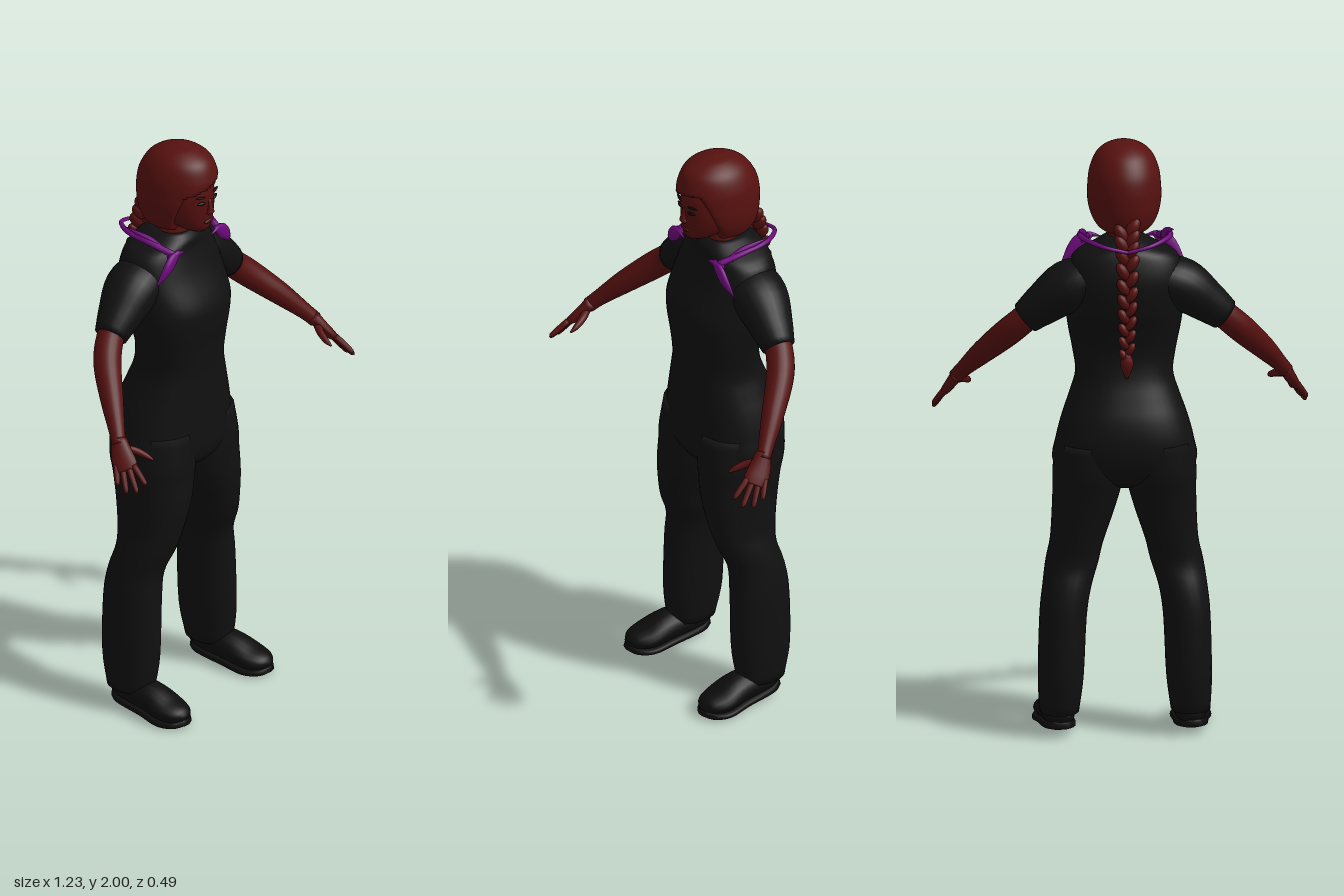
import * as THREE from 'three';

const material = (name, color) => Object.assign(new THREE.MeshStandardMaterial({ color }), { name });
const cloth = material('black cloth', 0x101010);
const leather = material('black leather', 0x0c0c0c);
const skin = material('skin', 0x54100f);
const hairMat = material('hair', 0x56110f);
const scarf = material('purple scarf', 0x6e0a7c);
const dark = material('dark eye', 0x140606);
const lipMat = material('lips', 0x420a0c);

// Smooth closed loft through rows of [x, y, z, radiusA, radiusB].
// flat keeps every ring horizontal (rows then run from top to bottom).
function loft(rows, { n = 20, steps = 4, ref = [0, 0, 1], flat = false, pow = 1 } = {}) {
  const path = new THREE.CatmullRomCurve3(rows.map(r => new THREE.Vector3(r[0], r[1], r[2])), false, 'catmullrom');
  const size = new THREE.CatmullRomCurve3(rows.map(r => new THREE.Vector3(r[3], r[4], 0)), false, 'catmullrom');
  const up = new THREE.Vector3(...ref);
  const count = (rows.length - 1) * steps;
  const pos = [], index = [];
  const bend = v => Math.sign(v) * Math.abs(v) ** pow;
  for (let i = 0; i <= count; i++) {
    const c = path.getPoint(i / count), r = size.getPoint(i / count), t = path.getTangent(i / count);
    const a = flat ? new THREE.Vector3(1, 0, 0) : up.clone().cross(t).normalize();
    const b = flat ? new THREE.Vector3(0, 0, 1) : t.clone().cross(a);
    for (let j = 0; j < n; j++) {
      const q = j / n * Math.PI * 2;
      const p = c.clone().addScaledVector(a, Math.max(r.x, 0.001) * bend(Math.cos(q)))
        .addScaledVector(b, Math.max(r.y, 0.001) * bend(Math.sin(q)));
      pos.push(p.x, p.y, p.z);
    }
  }
  for (let i = 0; i < count; i++) for (let j = 0; j < n; j++) {
    const k = (j + 1) % n, a = i * n + j, b = i * n + k;
    index.push(a, b, a + n, b, b + n, a + n);
  }
  const first = path.getPoint(0), last = path.getPoint(1), cap = pos.length / 3;
  pos.push(first.x, first.y, first.z, last.x, last.y, last.z);
  for (let j = 0; j < n; j++) {
    const k = (j + 1) % n;
    index.push(cap, k, j, cap + 1, count * n + j, count * n + k);
  }
  const g = new THREE.BufferGeometry();
  g.setAttribute('position', new THREE.Float32BufferAttribute(pos, 3));
  g.setIndex(index);
  g.computeVertexNormals();
  return g;
}

// Horizontal rows given as [y, xMin, xMax, zFront, zBack]
const box = (y, x0, x1, f, b) => [(x0 + x1) / 2, y, (f + b) / 2, (x1 - x0) / 2, (f - b) / 2];
const centred = rows => rows.map(([y, w, f, b]) => box(y, -w, w, f, b));
const side = (rows, s) => rows.map(([x, ...rest]) => [x * s, ...rest]);

export function createModel() {
  const model = new THREE.Group();
  const add = (name, geometry, mat, parent = model) => {
    const m = new THREE.Mesh(geometry, mat);
    m.name = name;
    parent.add(m);
    return m;
  };
  const blob = (name, mat, p, s, tilt = 0) => {
    const m = add(name, new THREE.SphereGeometry(1, 16, 12), mat);
    m.position.set(...p);
    m.scale.set(...s);
    m.rotation.z = tilt;
    return m;
  };

  // Torso and hips
  add('torso', loft(centred([
    [1.69, 0.06, -0.01, -0.14], [1.665, 0.105, 0.01, -0.185], [1.63, 0.17, 0.015, -0.205],
    [1.55, 0.195, 0.045, -0.222], [1.45, 0.193, 0.092, -0.21], [1.38, 0.185, 0.095, -0.185],
    [1.3, 0.17, 0.085, -0.165], [1.22, 0.16, 0.08, -0.175], [1.15, 0.18, 0.08, -0.2],
    [1.08, 0.205, 0.08, -0.225], [1, 0.226, 0.08, -0.235], [0.92, 0.233, 0.08, -0.218],
    [0.87, 0.15, 0.06, -0.18], [0.84, 0.04, 0.02, -0.12],
  ]), { n: 40, flat: true, pow: 0.85 }), cloth);

  // Head, neck and face
  add('neck', loft([[0, 1.78, -0.06, 0.05, 0.05], [0, 1.72, -0.065, 0.048, 0.05], [0, 1.66, -0.07, 0.065, 0.06]],
    { flat: true }), skin);
  add('head', loft(centred([
    [1.95, 0.05, 0, -0.1], [1.9, 0.085, 0.06, -0.14], [1.85, 0.092, 0.078, -0.15], [1.8, 0.09, 0.078, -0.14],
    [1.76, 0.078, 0.076, -0.12], [1.73, 0.055, 0.072, -0.07], [1.71, 0.026, 0.056, -0.03],
  ]), { n: 32, flat: true }), skin);
  add('nose', loft([[0, 1.835, 0.073, 0.008, 0.008], [0, 1.8, 0.08, 0.011, 0.011],
    [0, 1.787, 0.08, 0.016, 0.012], [0, 1.778, 0.076, 0.01, 0.006]], { flat: true, n: 12 }), skin);
  blob('mouth', lipMat, [0, 1.753, 0.074], [0.024, 0.008, 0.007]);
  for (const s of [1, -1]) {
    blob('eye', dark, [0.036 * s, 1.828, 0.072], [0.016, 0.006, 0.005], 0.1 * s).rotation.y = 0.3 * s;
    blob('eyebrow', dark, [0.04 * s, 1.851, 0.071], [0.02, 0.003, 0.005], 0.08 * s).rotation.y = 0.3 * s;
  }

  // Hair cap, flattened behind the face below a sideways fringe
  const hair = loft(centred([
    [2, 0.004, -0.04, -0.05], [1.99, 0.05, 0.015, -0.1], [1.96, 0.09, 0.065, -0.15], [1.91, 0.113, 0.087, -0.183],
    [1.86, 0.12, 0.092, -0.195], [1.81, 0.121, 0.09, -0.195], [1.76, 0.11, 0.07, -0.188],
    [1.72, 0.085, 0.03, -0.17], [1.7, 0.04, 0, -0.15],
  ]), { n: 56, steps: 8, flat: true });
  const hp = hair.attributes.position;
  for (let i = 0; i < hp.count; i++) {
    const x = hp.getX(i), y = hp.getY(i);
    const edge = 0.04 - (1.87 - y) * 0.44;
    if (y < 1.885 + 0.3 * x && hp.getZ(i) > edge) hp.setZ(i, edge);
  }
  hair.computeVertexNormals();
  add('hair', hair, hairMat);

  // Braid of paired strands with a loose tuft
  const braid = new THREE.CatmullRomCurve3([[1.74, -0.185], [1.66, -0.212], [1.54, -0.228], [1.42, -0.212], [1.31, -0.19]]
    .map(([y, z]) => new THREE.Vector3(0, y, z)));
  for (let i = 0; i < 20; i++) {
    const t = i / 19, s = i % 2 ? 1 : -1, p = braid.getPoint(t), w = 1 - 0.4 * t;
    blob('braidStrand', hairMat, [s * 0.018 * w, p.y, p.z], [0.021 * w, 0.038 * w, 0.022 * w], -s * 0.55);
  }
  add('braidTuft', loft([[0, 1.315, -0.19, 0.012, 0.012], [0, 1.28, -0.19, 0.022, 0.018],
    [0, 1.23, -0.185, 0.004, 0.004]], { flat: true, n: 12 }), hairMat);

  for (const s of [1, -1]) {
    const name = part => (s > 0 ? 'left' : 'right') + part;
    const limb = (part, rows, mat, options) => add(name(part), loft(side(rows, s), options), mat);

    // Trouser leg
    limb('Leg', [
      box(1, 0, 0.22, 0.07, -0.22), box(0.9, 0, 0.235, 0.08, -0.215), box(0.84, 0.01, 0.235, 0.08, -0.2),
      box(0.75, 0.035, 0.237, 0.08, -0.18), box(0.65, 0.068, 0.243, 0.065, -0.162), box(0.58, 0.085, 0.258, 0.045, -0.155),
      box(0.5, 0.11, 0.27, 0.015, -0.175), box(0.4, 0.125, 0.28, 0.015, -0.187),
      box(0.2, 0.135, 0.285, 0.015, -0.187), box(0.08, 0.15, 0.28, 0, -0.165),
    ], cloth, { n: 28, flat: true, pow: 0.9 });

    // Shoe and sole
    limb('Shoe', [
      [0.215, 0.06, -0.14, 0.03, 0.02], [0.215, 0.068, -0.1, 0.05, 0.045], [0.22, 0.065, 0, 0.058, 0.05],
      [0.226, 0.045, 0.08, 0.064, 0.038], [0.231, 0.038, 0.13, 0.046, 0.028], [0.234, 0.032, 0.153, 0.015, 0.01],
    ], leather, { ref: [0, 1, 0] });
    limb('Sole', [
      [0.215, 0.042, -0.14, 0.03, 0.014], [0.216, 0.036, -0.1, 0.054, 0.014], [0.22, 0.022, 0, 0.06, 0.013],
      [0.226, 0.012, 0.08, 0.068, 0.012], [0.231, 0.013, 0.13, 0.05, 0.012], [0.234, 0.02, 0.155, 0.016, 0.01],
    ], leather, { ref: [0, 1, 0], pow: 0.5 });

    // Sleeve and bare arm
    limb('Sleeve', [
      [0.1, 1.56, -0.1, 0.07, 0.09], [0.185, 1.525, -0.1, 0.085, 0.095],
      [0.265, 1.465, -0.092, 0.07, 0.075], [0.325, 1.415, -0.085, 0.055, 0.055],
    ], cloth, { n: 24 });
    limb('Arm', [
      [0.27, 1.47, -0.09, 0.045, 0.045], [0.33, 1.41, -0.083, 0.046, 0.046], [0.39, 1.35, -0.05, 0.046, 0.046],
      [0.46, 1.27, 0.02, 0.038, 0.038], [0.515, 1.2, 0.08, 0.027, 0.027], [0.54, 1.165, 0.108, 0.025, 0.023],
    ], skin);

    // Hand, fingers and thumb
    const palm = [0.73 * s, 0.58, 0.26];
    limb('Palm', [
      [0.53, 1.18, 0.1, 0.026, 0.024], [0.55, 1.145, 0.125, 0.036, 0.019],
      [0.565, 1.115, 0.15, 0.041, 0.016], [0.575, 1.1, 0.164, 0.034, 0.011],
    ], skin, { ref: palm, n: 16 });
    [[0.57, 1.07, 0.24], [0.597, 1.046, 0.224], [0.61, 1.04, 0.19], [0.612, 1.06, 0.155]].forEach((tip, i) => {
      const k = -0.03 + i * 0.02;
      const base = [0.567 + 0.4 * k, 1.115 - 0.1 * k, 0.152 - 0.9 * k];
      const at = t => base.map((v, a) => v + (tip[a] - v) * t);
      limb('Finger', [[...at(0), 0.011, 0.011], [...at(0.55), 0.01, 0.01], [...at(0.9), 0.008, 0.008],
        [...at(1), 0.002, 0.002]], skin, { ref: palm, n: 10, steps: 3 });
    });
    limb('Thumb', [[0.54, 1.155, 0.115, 0.014, 0.014], [0.51, 1.145, 0.15, 0.013, 0.013],
      [0.495, 1.13, 0.185, 0.01, 0.01], [0.49, 1.12, 0.21, 0.003, 0.003]], skin, { ref: palm, n: 10 });

    // Scarf: cord around the neck, upturned tip and pointed ends on the chest
    limb('ScarfCord', [
      [0, 1.67, -0.228, 0.006, 0.006], [0.08, 1.69, -0.222, 0.007, 0.007], [0.14, 1.7, -0.15, 0.009, 0.009],
      [0.145, 1.69, -0.06, 0.01, 0.01], [0.12, 1.66, 0.02, 0.012, 0.012],
    ], scarf, { ref: [0, 1, 0], n: 10 });
    limb('ScarfTip', [[0.13, 1.67, -0.02, 0.013, 0.01], [0.135, 1.695, -0.06, 0.011, 0.01],
      [0.145, 1.71, -0.1, 0.008, 0.007], [0.155, 1.725, -0.15, 0.001, 0.001]], scarf, { ref: [1, 0, 0], n: 10 });
    limb('ScarfEnd', [[0.1, 1.665, 0.025, 0.008, 0.008], [0.135, 1.645, 0.025, 0.024, 0.012],
      [0.165, 1.615, 0.022, 0.02, 0.012], [0.2, 1.575, 0.01, 0.002, 0.002]], scarf, { n: 12 });
    limb('ScarfTail', [[0.14, 1.65, 0.015, 0.014, 0.012], [0.11, 1.662, 0.028, 0.01, 0.008],
      [0.07, 1.655, 0.03, 0.001, 0.001]], scarf, { n: 10 });
  }
  return model;
}
